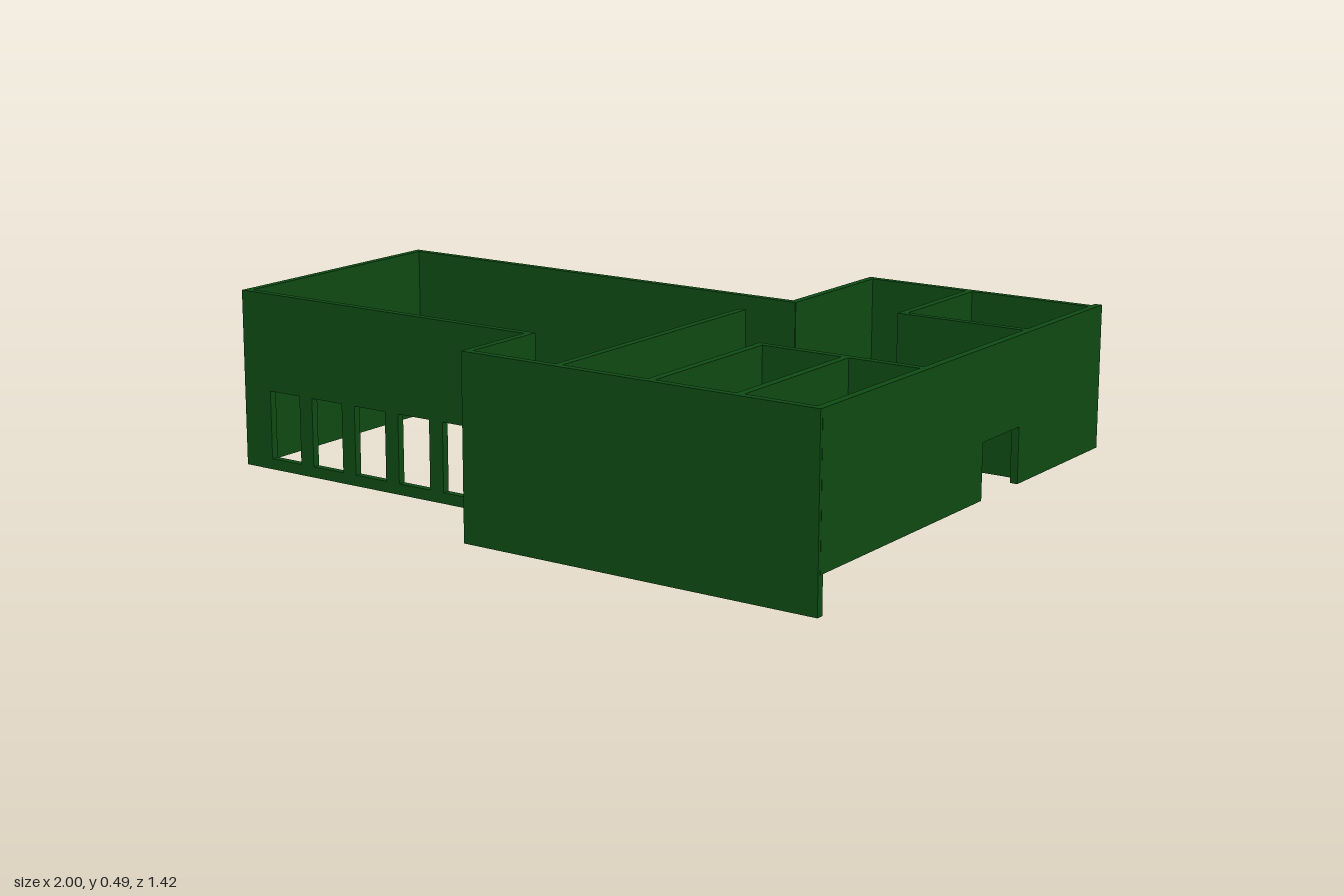
import * as THREE from 'three';

const TOP = 0.49, T = 0.021;
const LOW = 0, HIGH = 0.1; // the two floor levels
const DOOR_TOP = 0.25;

const material = new THREE.MeshStandardMaterial({ color: 0x0f4d14 });

// Upright wall from a to b, with doors cut from the bottom and windows as holes.
// axis 'x': runs along x at z = at; axis 'z': runs along z at x = at.
function wall(name, axis, at, a, b, base, doors = [], windows = []) {
  const s = new THREE.Shape();
  s.moveTo(a, base);
  for (const [d0, d1] of doors) {
    s.lineTo(d0, base);
    s.lineTo(d0, DOOR_TOP);
    s.lineTo(d1, DOOR_TOP);
    s.lineTo(d1, base);
  }
  s.lineTo(b, base);
  s.lineTo(b, TOP);
  s.lineTo(a, TOP);
  s.closePath();
  for (const [w0, w1, y0, y1] of windows) {
    const h = new THREE.Path();
    h.moveTo(w0, y0);
    h.lineTo(w0, y1);
    h.lineTo(w1, y1);
    h.lineTo(w1, y0);
    h.closePath();
    s.holes.push(h);
  }
  const g = new THREE.ExtrudeGeometry(s, { depth: T, bevelEnabled: false });
  g.translate(0, 0, -T / 2);
  if (axis === 'z') g.rotateY(-Math.PI / 2);
  const m = new THREE.Mesh(g, material);
  m.name = name;
  if (axis === 'x') m.position.z = at;
  else m.position.x = at;
  return m;
}

export function createModel() {
  const model = new THREE.Group();
  model.name = 'floorPlanWalls';

  // Row of five windows in the long front wall
  const windows = [];
  for (let i = 0; i < 5; i++) {
    const x = -0.907 + i * 0.151;
    windows.push([x, x + 0.106, 0.03, 0.22]);
  }

  model.add(
    // Large hall on the lower level
    wall('hallLeftWall', 'z', -0.9895, -0.285, 0.455, LOW),
    wall('hallBackWall', 'x', -0.277, -1, 0.318, LOW),
    wall('hallFrontWall', 'x', 0.447, -1, -0.015, LOW, [], windows),
    wall('hallStepWall', 'z', -0.022, 0.437, 0.7, LOW),
    wall('frontWall', 'x', 0.6985, -0.032, 0.997, LOW),
    wall('dividerWall', 'z', 0.252, -0.112, 0.7, LOW),

    // Outer walls on the raised level
    wall('rightWall', 'z', 0.987, -0.709, 0.7, HIGH, [[-0.255, -0.063]]),
    wall('wingBackWall', 'x', -0.68, 0.3, 0.99, HIGH),
    wall('wingLeftWall', 'z', 0.309, -0.692, -0.268, HIGH),

    // Back room
    wall('backRoomFrontWall', 'x', -0.313, 0.61, 0.98, HIGH, [[0.66, 0.79]]),
    wall('backRoomSideWall', 'z', 0.62, -0.68, -0.303, HIGH),

    // Two small front rooms
    wall('frontRoomsBackWall', 'x', 0.217, 0.51, 0.98, HIGH, [[0.81, 0.93]]),
    wall('frontRoomSideWall', 'z', 0.522, 0.21, 0.69, HIGH),
    wall('frontRoomsPartition', 'z', 0.77, 0.22, 0.69, HIGH, [[0.575, 0.68]])
  );
  return model;
}
